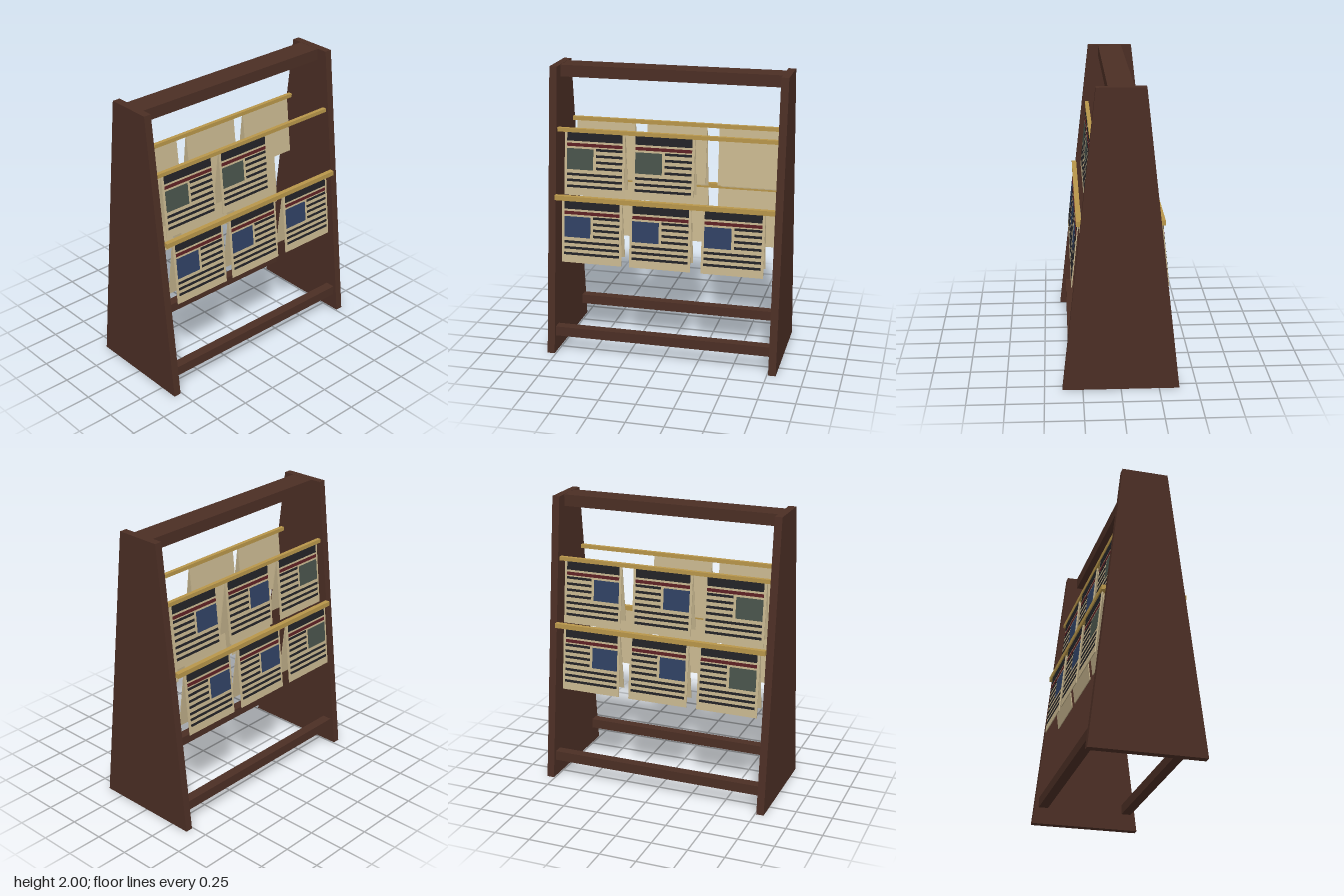
import * as THREE from 'three';

const mat = (name, color) => new THREE.MeshStandardMaterial({ name, color });

export function createModel() {
  const wood = mat('darkWood', 0x4b2e24);
  const brass = mat('brass', 0xb8964a);
  const paper = mat('newsprint', 0xc5b48d);
  const ink = mat('ink', 0x222226);
  const red = mat('redInk', 0x5c2023);
  const blue = mat('bluePicture', 0x2f4062);
  const green = mat('greenPicture', 0x48524a);

  const model = new THREE.Group();
  model.name = 'newspaperRack';

  const box = (parent, name, material, w, h, d, x, y, z) => {
    const mesh = new THREE.Mesh(new THREE.BoxGeometry(w, h, d), material);
    mesh.name = name;
    mesh.position.set(x, y, z);
    parent.add(mesh);
    return mesh;
  };

  // Tapered side panels
  const outline = new THREE.Shape([
    new THREE.Vector2(-0.383, 0), new THREE.Vector2(0.383, 0),
    new THREE.Vector2(0.157, 2), new THREE.Vector2(-0.157, 2),
  ]);
  const panelGeo = new THREE.ExtrudeGeometry(outline, { depth: 0.052, bevelEnabled: false });
  panelGeo.translate(0, 0, -0.026).rotateY(Math.PI / 2);
  for (const s of [-1, 1]) {
    const panel = new THREE.Mesh(panelGeo, wood);
    panel.name = s > 0 ? 'leftPanel' : 'rightPanel';
    panel.position.x = s * 0.785;
    model.add(panel);
  }

  // Top beam and lower stretchers
  box(model, 'topBeam', wood, 1.52, 0.08, 0.166, 0, 1.959, 0);
  for (const s of [-1, 1]) {
    box(model, s > 0 ? 'frontStretcher' : 'backStretcher', wood, 1.52, 0.068, 0.068, 0, 0.153, s * 0.306);
  }

  // A folded newspaper hanging from a rod; s = 1 faces front, -1 faces back
  const PAGE = 0.426, PRINT = 0.39;
  function newspaper(x, y, z, s, picture) {
    const group = new THREE.Group();
    group.name = 'newspaper';
    group.position.set(x, y, z);

    const outer = new THREE.Group();
    outer.name = 'frontPage';
    outer.rotation.x = -s * 0.105;
    group.add(outer);
    box(outer, 'frontSheet', paper, PAGE, 0.45, 0.006, 0, -0.225, 0);

    const inner = new THREE.Group();
    inner.name = 'backPage';
    inner.rotation.x = s * 0.115;
    group.add(inner);
    box(inner, 'backSheet', paper, PAGE, 0.415, 0.006, 0, -0.2075, 0);

    // Printed blocks, laid out by distance below the rod
    const print = (name, material, x0, w, top, bottom) =>
      box(outer, name, material, w, bottom - top, 0.004, x0 + w / 2, -(top + bottom) / 2, s * 0.004);
    const left = -PRINT / 2;
    print('headerBand', ink, left, PRINT, 0.012, 0.073);
    print('redRule', red, left, PRINT, 0.088, 0.11);
    print('pagePicture', picture, left, 0.185, 0.125, 0.27);
    for (let i = 0; i < 4; i++) {
      const t = 0.12 + i * 0.0428;
      print('shortLine', ink, left + 0.205, 0.185, t, t + 0.017);
    }
    for (let i = 0; i < 3; i++) {
      const t = 0.295 + i * 0.0415;
      print('longLine', ink, left, PRINT, t, t + 0.017);
    }
    model.add(group);
  }

  // Rods with their newspapers: [side, height, depth, thickness, [x, picture]...]
  const rows = [
    [1, 1.573, 0.17, 0.027, [[-0.495, green], [-0.014, green]]],
    [1, 1.117, 0.268, 0.033, [[-0.495, blue], [-0.014, blue], [0.485, blue]]],
    [-1, 1.573, 0.17, 0.027, [[-0.515, green], [-0.004, blue], [0.508, blue]]],
    [-1, 1.117, 0.268, 0.033, [[-0.511, green], [-0.014, blue], [0.485, blue]]],
  ];
  for (const [s, y, z, t, papers] of rows) {
    box(model, s > 0 ? 'frontRod' : 'backRod', brass, 1.52, t, t, 0, y, s * z);
    for (const [x, picture] of papers) newspaper(x, y, s * z, s, picture);
  }

  return model;
}
